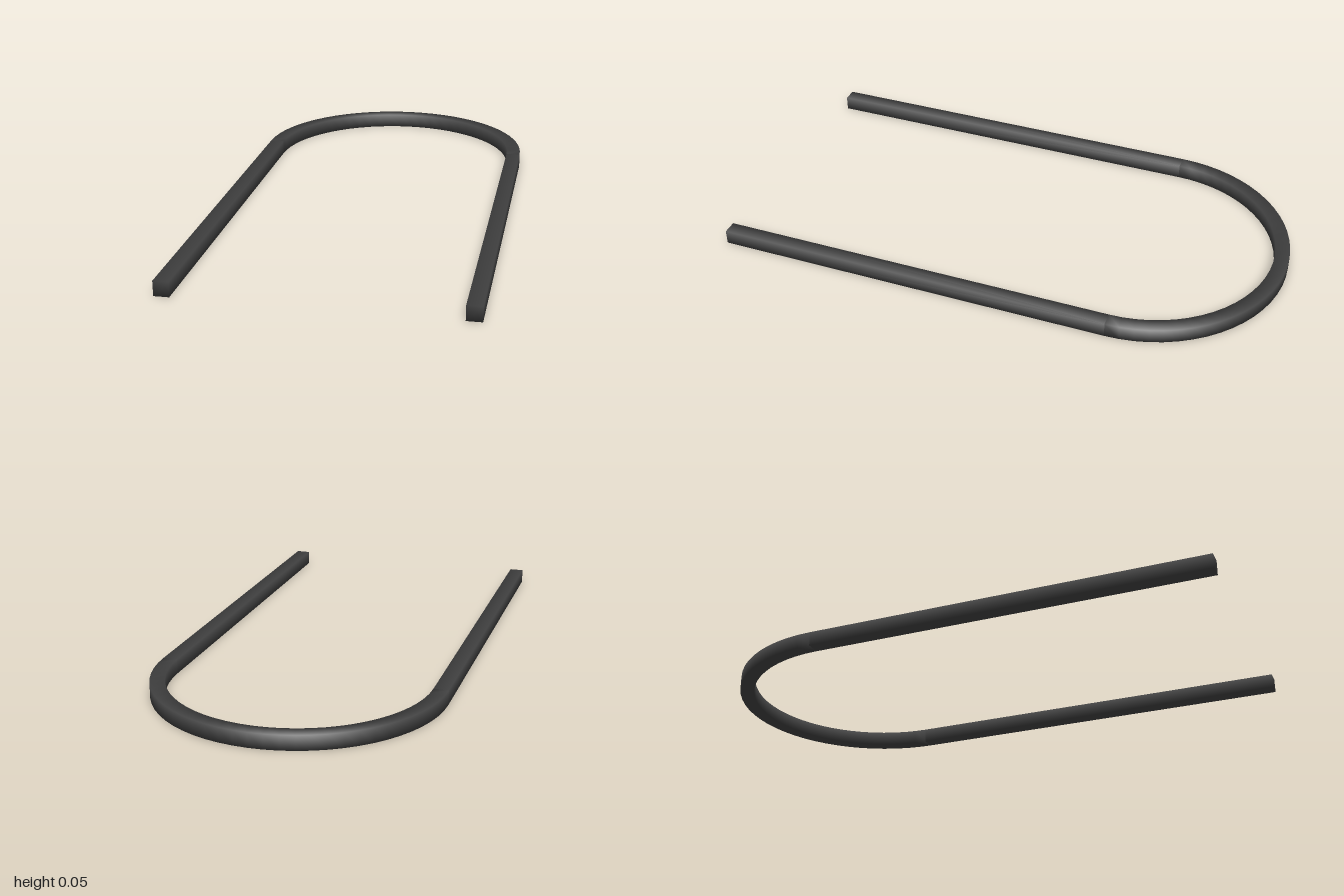
import * as THREE from 'three';
import { mergeVertices } from 'three/addons/utils/BufferGeometryUtils.js';

const OUTER = 0.524, BAR = 0.053, INNER = OUTER - BAR;
const BEND_Z = -1 + OUTER;   // where the arch meets the legs

// Share corner vertices so the square bar shades softly around its edges
function soften(geometry) {
  geometry.deleteAttribute('normal');
  geometry.deleteAttribute('uv');
  const merged = mergeVertices(geometry, 1e-4);
  merged.computeVertexNormals();
  return merged;
}

export function createModel() {
  const model = new THREE.Group();
  model.name = 'archedBar';
  const material = new THREE.MeshStandardMaterial({ color: 0x444444 });

  // Half-circle arch with a square section
  const section = [[OUTER, 0], [OUTER, BAR], [INNER, BAR], [INNER, 0], [OUTER, 0]]
    .map(([r, y]) => new THREE.Vector2(r, y));
  const arch = new THREE.Mesh(
    soften(new THREE.LatheGeometry(section, 32, Math.PI / 2, Math.PI)), material);
  arch.name = 'arch';
  arch.position.z = BEND_Z;
  model.add(arch);

  // Two straight legs running forward
  const length = 1 - BEND_Z;
  const legGeometry = soften(new THREE.BoxGeometry(BAR, BAR, length));
  for (const [name, side] of [['leftLeg', 1], ['rightLeg', -1]]) {
    const leg = new THREE.Mesh(legGeometry, material);
    leg.name = name;
    leg.position.set(side * (OUTER - BAR / 2), BAR / 2, BEND_Z + length / 2);
    model.add(leg);
  }
  return model;
}
